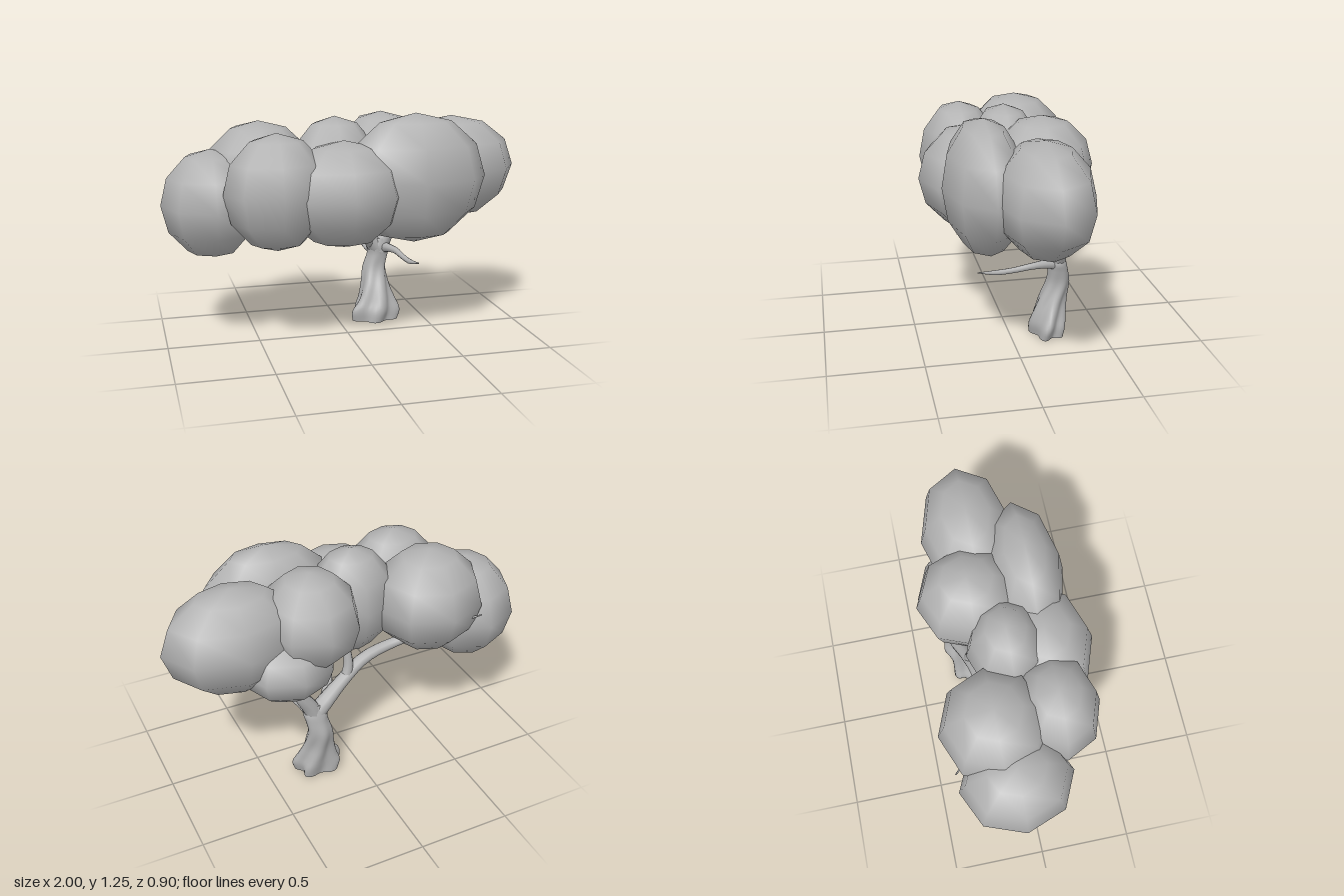
import * as THREE from 'three';

const grey = new THREE.MeshStandardMaterial({ color: 0xb2b2b2 });
grey.name = 'plain grey';

function add(group, name, geometry) {
  const mesh = new THREE.Mesh(geometry, grey);
  mesh.name = name;
  group.add(mesh);
  return mesh;
}

// Faceted-outline ellipsoid of foliage: centre and radii
function leafClump(c, r) {
  return new THREE.SphereGeometry(1, 8, 6).scale(...r).translate(...c);
}

// Tapering limb through points [x, y, z, radius]
function limb(points, segments = 20, sides = 10) {
  const curve = new THREE.CatmullRomCurve3(points.map(p => new THREE.Vector3(p[0], p[1], p[2])));
  const geo = new THREE.TubeGeometry(curve, segments, 1, sides);
  const pos = geo.attributes.position, nor = geo.attributes.normal;
  for (let i = 0; i <= segments; i++) {
    const t = i / segments;
    const c = curve.getPointAt(t);
    const f = curve.getUtoTmapping(t) * (points.length - 1);
    const k = Math.min(Math.floor(f), points.length - 2);
    const r = THREE.MathUtils.lerp(points[k][3], points[k + 1][3], f - k);
    for (let j = 0; j <= sides; j++) {
      const n = i * (sides + 1) + j;
      pos.setXYZ(n, c.x + r * nor.getX(n), c.y + r * nor.getY(n), c.z + r * nor.getZ(n));
    }
  }
  return geo;
}

// Trunk cross-sections: height, centre x, centre z, half width, half depth
const RINGS = [
  [0, 0.216, -0.205, 0.122, 0.084],
  [0.06, 0.218, -0.207, 0.133, 0.09],
  [0.12, 0.224, -0.216, 0.106, 0.085],
  [0.2, 0.224, -0.233, 0.081, 0.075],
  [0.3, 0.228, -0.262, 0.067, 0.063],
  [0.38, 0.245, -0.258, 0.062, 0.053],
  [0.43, 0.25, -0.25, 0.066, 0.049],
  [0.48, 0.255, -0.245, 0.04, 0.035],
];
const SIDES = 40;

// Point on the trunk: root ridges twist and fade with height
function trunkPoint([y, x, z, rx, rz], a) {
  const fade = Math.max(0, 1 - y / 0.42);
  const ridge = 1 - 0.03 * fade + 0.17 * fade * Math.cos(5 * (a + 0.12 - y * 2.5));
  return [x + rx * ridge * Math.sin(a), y, z + rz * ridge * Math.cos(a)];
}

function trunkGeometry() {
  const steps = 28, verts = [], index = [];
  const rings = new THREE.CubicInterpolant(RINGS.map((_, i) => i), new Float32Array(RINGS.flat()), 5);
  for (let i = 0; i <= steps; i++) {
    const ring = rings.evaluate(i / steps * (RINGS.length - 1));
    for (let j = 0; j < SIDES; j++) verts.push(...trunkPoint(ring, j / SIDES * Math.PI * 2));
  }
  for (let i = 0; i < steps; i++) {
    for (let j = 0; j < SIDES; j++) {
      const a = i * SIDES + j, b = i * SIDES + (j + 1) % SIDES;
      index.push(a, b, b + SIDES, a, b + SIDES, a + SIDES);
    }
  }
  const geo = new THREE.BufferGeometry();
  geo.setAttribute('position', new THREE.Float32BufferAttribute(verts, 3));
  geo.setIndex(index);
  geo.computeVertexNormals();
  return geo;
}

// Flat underside of the roots
function baseGeometry() {
  const outline = [];
  for (let j = 0; j < SIDES; j++) {
    const [x, , z] = trunkPoint(RINGS[0], j / SIDES * Math.PI * 2);
    outline.push(new THREE.Vector2(x, z));
  }
  return new THREE.ShapeGeometry(new THREE.Shape(outline)).rotateX(Math.PI / 2);
}

export function createModel() {
  const tree = new THREE.Group();
  tree.name = 'tree';

  // Foliage
  const canopy = new THREE.Group();
  canopy.name = 'canopy';
  tree.add(canopy);
  const clumps = {
    rightEndClump: [[-0.73, 0.765, -0.1], [0.27, 0.295, 0.3]],
    rightBackClump: [[-0.46, 0.905, -0.16], [0.305, 0.29, 0.29]],
    rightFrontClump: [[-0.42, 0.86, 0.17], [0.28, 0.31, 0.23]],
    middleClump: [[-0.07, 0.92, -0.02], [0.25, 0.305, 0.21]],
    middleFrontClump: [[-0.065, 0.835, 0.175], [0.33, 0.285, 0.272]],
    leftFrontClump: [[0.33, 0.9, 0.16], [0.4, 0.35, 0.213]],
    leftBackClump: [[0.23, 0.955, -0.16], [0.265, 0.272, 0.275]],
    leftLowerClump: [[0.37, 0.745, -0.17], [0.26, 0.205, 0.25]],
    leftEndClump: [[0.62, 0.91, -0.09], [0.38, 0.29, 0.255]],
  };
  for (const [name, [centre, radii]] of Object.entries(clumps)) add(canopy, name, leafClump(centre, radii));

  // Trunk
  add(tree, 'trunk', trunkGeometry());
  add(tree, 'trunkBase', baseGeometry());

  // Main fork and twigs
  const branches = {
    leftBranch: [[0.25, 0.4, -0.25, 0.05], [0.28, 0.47, -0.25, 0.045], [0.33, 0.55, -0.25, 0.036], [0.37, 0.64, -0.24, 0.034]],
    rightBranch: [[0.26, 0.4, -0.25, 0.05], [0.19, 0.47, -0.245, 0.046], [0.08, 0.545, -0.215, 0.037],
      [-0.08, 0.635, -0.18, 0.034], [-0.3, 0.685, -0.18, 0.028], [-0.5, 0.76, -0.26, 0.02], [-0.66, 0.87, -0.4, 0.003]],
    upperBranch: [[0.05, 0.56, -0.21, 0.03], [0.03, 0.63, -0.2, 0.027], [0.03, 0.73, -0.18, 0.02]],
    lowerTwig: [[0.27, 0.42, -0.25, 0.034], [0.29, 0.43, -0.18, 0.024], [0.31, 0.432, -0.1, 0.018],
      [0.32, 0.422, 0, 0.015], [0.33, 0.42, 0.1, 0.014], [0.35, 0.436, 0.2, 0.002]],
    upperTwig: [[0.18, 0.46, -0.23, 0.035], [0.14, 0.5, -0.17, 0.026], [0.1, 0.53, -0.1, 0.02],
      [0.08, 0.53, 0, 0.015], [0.06, 0.537, 0.13, 0.011], [0.04, 0.54, 0.26, 0.002]],
  };
  for (const [name, points] of Object.entries(branches)) add(tree, name, limb(points));

  return tree;
}
